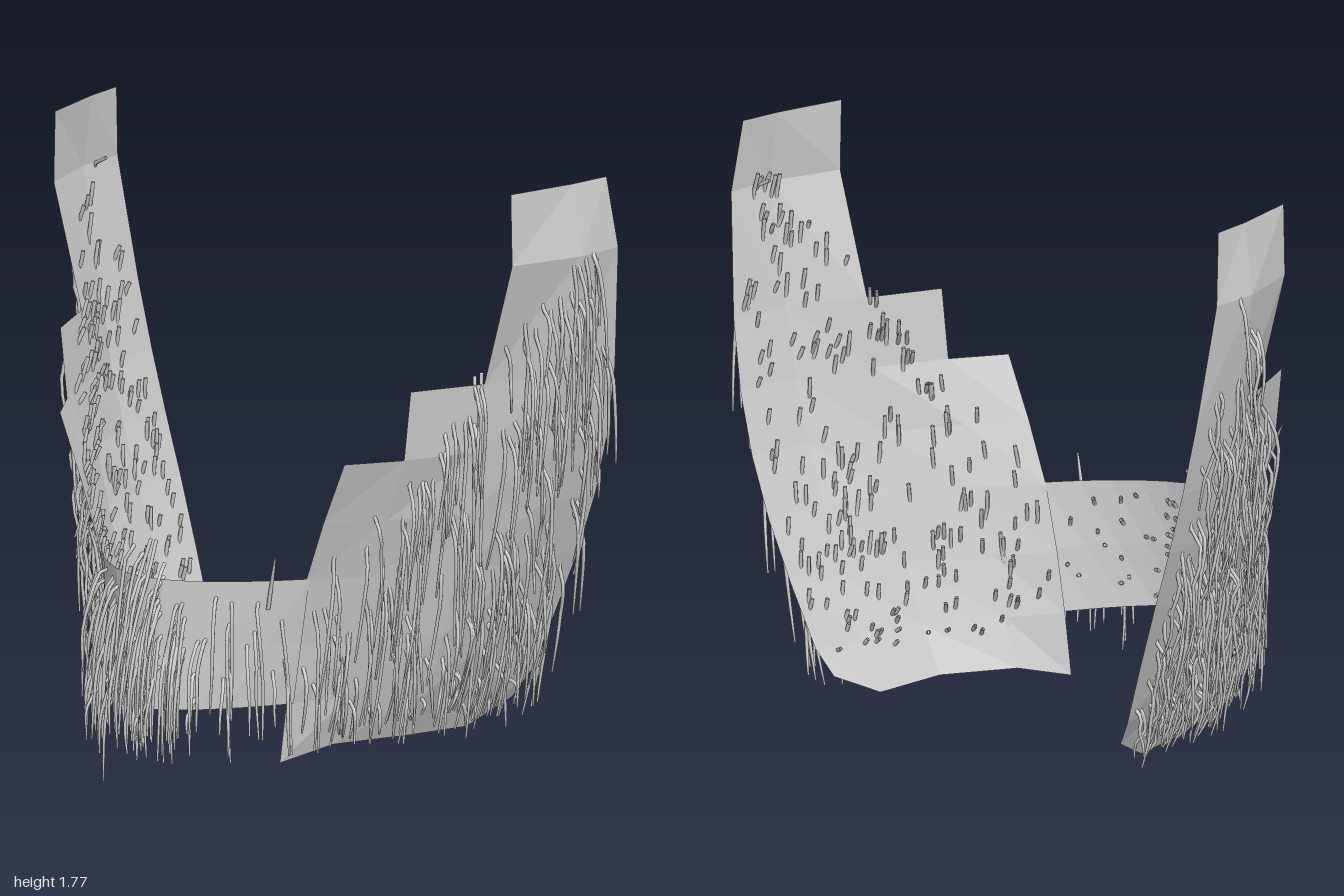
import * as THREE from 'three';
import { mergeGeometries } from 'three/addons/utils/BufferGeometryUtils.js';

// seeded random numbers
let seed = 7;
const rnd = () => (seed = (seed * 16807) % 2147483647) / 2147483647;
const range = (a, b) => a + (b - a) * rnd();
const lerp = THREE.MathUtils.lerp;

// side panel grid: heights of the rows, then columns from chin to ear
const rowY = [0.08, 0.22, 0.4, 0.6, 0.78, 0.97, 1.18, 1.55, 1.765];
const backZ = [-0.55, -0.575, -0.6, -0.62, -0.625, -0.62, -0.605, -0.565, -0.535];
const columns = [
  { z: 0.205, foot: 0.035, x: [0.295, 0.32, 0.35, 0.395, 0.46, 0.54] },
  { z: 0.05, foot: 0.075, x: [0.37, 0.42, 0.47, 0.52, 0.575, 0.64, 0.665] },
  { z: -0.17, foot: 0.08, x: [0.48, 0.55, 0.61, 0.66, 0.705, 0.74, 0.765, 0.87, 0.865] },
  { z: -0.4, foot: 0.07, x: [0.51, 0.58, 0.66, 0.73, 0.79, 0.84, 0.88, 0.945, 0.915] },
  { z: -0.6, foot: 0.14, x: [0.56, 0.61, 0.68, 0.755, 0.815, 0.865, 0.905, 0.95, 0.93] },
];
const cheekShift = -0.008; // both cheeks sit slightly to the right

// sheet between neighbouring columns of points; it steps down where a column is shorter
function sheet(cols) {
  const pos = [];
  for (let i = 0; i + 1 < cols.length; i++) {
    const a = cols[i], b = cols[i + 1];
    for (let j = 0; j + 1 < Math.min(a.length, b.length); j++) {
      for (const p of [a[j], b[j], b[j + 1], a[j], b[j + 1], a[j + 1]]) pos.push(...p);
    }
  }
  const g = new THREE.BufferGeometry();
  g.setAttribute('position', new THREE.Float32BufferAttribute(pos, 3));
  g.computeVertexNormals();
  return g;
}

// x of the side panel at a height and depth
function columnX(col, y) {
  const n = col.x.length;
  let j = 0;
  while (j < n - 2 && y > rowY[j + 1]) j++;
  const t = THREE.MathUtils.clamp((y - rowY[j]) / (rowY[j + 1] - rowY[j]), 0, 1);
  return lerp(col.x[j], col.x[j + 1], t);
}
function sideX(y, z) {
  let i = 0;
  while (i < columns.length - 2 && z < columns[i + 1].z) i++;
  const a = columns[i], b = columns[i + 1];
  return lerp(columnX(a, y), columnX(b, y), (a.z - z) / (a.z - b.z));
}

// half width and depth of the chin band; its ends meet the cheek panels
const chinWidth = (y) => lerp(0.335, 0.395, (y - 0.22) / 0.385);
function chinZ(x, y) {
  const front = 0.535 - 0.13 * (y - 0.22);
  return front - (front - 0.2) * Math.min(1, Math.abs(x) / chinWidth(y)) ** 1.85;
}

// thin round strand tapering to its tip
function strand(points) {
  const curve = new THREE.CatmullRomCurve3(points);
  const segs = 8, sides = 6;
  const g = new THREE.TubeGeometry(curve, segs, 0.006, sides, false);
  const p = g.attributes.position, c = new THREE.Vector3(), v = new THREE.Vector3();
  for (let i = 0; i <= segs; i++) {
    curve.getPointAt(i / segs, c);
    const s = 1 - 0.5 * (i / segs) ** 3;
    for (let k = 0; k <= sides; k++) {
      const n = i * (sides + 1) + k;
      v.fromBufferAttribute(p, n).sub(c).multiplyScalar(s).add(c);
      p.setXYZ(n, v.x, v.y, v.z);
    }
  }
  return g;
}
const strandThrough = (side, points) =>
  strand(points.map(([x, y, z]) => new THREE.Vector3(side * x, y, z)));

// hairs hanging from one side panel
function sideHairs(side, count) {
  // stray hair standing out near the ear
  const list = [strandThrough(side, [[0.9, 1.57, -0.45], [0.95, 1.54, -0.455], [0.985, 1.38, -0.46], [0.995, 1.21, -0.46]])];
  while (list.length < count) {
    const z = range(-0.56, 0.18), y = range(0.2, 1.63);
    if (y > Math.min(0.97 - 1.6 * z, 1.63) || (z < -0.48 && y > 1.3)) continue;
    const length = Math.min(range(0.22, 0.52), y - range(0.07, 0.16));
    const out = range(0.01, 0.04), nz = z > -0.2 ? 0.6 : 0.1, drift = range(-0.04, 0.02);
    const x0 = sideX(y, z);
    const follow = range(0.05, 0.8); // how closely the hair hugs the cheek
    const pts = [[0, -0.02], [0.12, -0.002], [0.28, 0.8 * out], [0.5, out],
      [0.75, out], [1, 0.9 * out]].map(([t, o], i) => {
      const yy = y - t * length;
      const x = lerp(x0, sideX(yy, z), i > 1 ? follow : 1) + o;
      const wave = i > 1 ? range(-0.01, 0.01) : 0;
      return [x + wave, yy, z + nz * o + drift * t + wave];
    });
    list.push(strandThrough(side, pts));
  }
  return mergeGeometries(list).translate(cheekShift, 0, 0);
}

// hairs hanging from the chin, denser and taller in the middle
function chinHairs(count) {
  const list = [];
  for (let i = 0; i < count; i++) {
    const middle = i % 6 === 0;
    const x = middle ? range(-0.07, 0.07) : range(-0.34, 0.34);
    const y = middle ? range(0.5, 0.68) : range(0.24, 0.58);
    const length = Math.min(range(0.28, 0.48), y - range(0.06, 0.17));
    const n = new THREE.Vector3(x * 2.6, 0, 1).normalize();
    const out = range(0.025, 0.08);
    const pts = [[0, -0.02, 0.01], [0.05, 0.2 * out, 0.01], [0.3, 0.75 * out, 0],
      [0.6, out, 0], [1, out, 0]].map(([t, o, up]) => {
      const yy = y - t * length + up;
      const z = chinZ(x, THREE.MathUtils.clamp(yy, 0.3, 0.6));
      return [x + n.x * o + range(-0.006, 0.006), yy, z + n.z * o];
    });
    list.push(strandThrough(1, pts));
  }
  // longest strand, a raised tuft and stray hairs at the band ends
  list.push(strandThrough(1, [[-0.05, 0.45, 0.5], [-0.055, 0.3, 0.57], [-0.06, 0.15, 0.595], [-0.06, 0, 0.6]]));
  for (const s of [-1, 1]) {
    list.push(strandThrough(s, [[0.01, 0.71, 0.44], [0.015, 0.62, 0.48], [0.02, 0.45, 0.56], [0.02, 0.25, 0.61]]));
    list.push(strandThrough(s, [[0.32, 0.52, 0.3], [0.335, 0.61, 0.3], [0.355, 0.68, 0.31]]));
  }
  return mergeGeometries(list);
}

export function createModel() {
  seed = 7;
  const group = new THREE.Group();
  group.name = 'beard';
  const grey = new THREE.MeshStandardMaterial({ color: 0xcccccc, side: THREE.DoubleSide });
  grey.name = 'beard grey';
  const add = (name, geometry) => {
    const mesh = new THREE.Mesh(geometry, grey);
    mesh.name = name;
    group.add(mesh);
  };

  // cheek panels and their hair
  for (const [side, label] of [[1, 'left'], [-1, 'right']]) {
    const cols = columns.map((c, i) => c.x.map((x, j) =>
      [side * x + cheekShift, j ? rowY[j] : c.foot, i === 4 ? backZ[j] : c.z]));
    if (side < 0) cols.reverse();
    add(label + 'CheekPanel', sheet(cols));
    add(label + 'CheekHair', sideHairs(side, 200));
  }

  // chin band joining the cheeks
  const band = [];
  for (let i = 0; i <= 12; i++) {
    const u = i / 6 - 1;
    band.push([0.22, 0.41, 0.605].map((y) => {
      const x = u * chinWidth(y);
      return [x, y, chinZ(x, y)];
    }));
  }
  add('chinBand', sheet(band));
  add('chinHair', chinHairs(100));
  return group;
}
